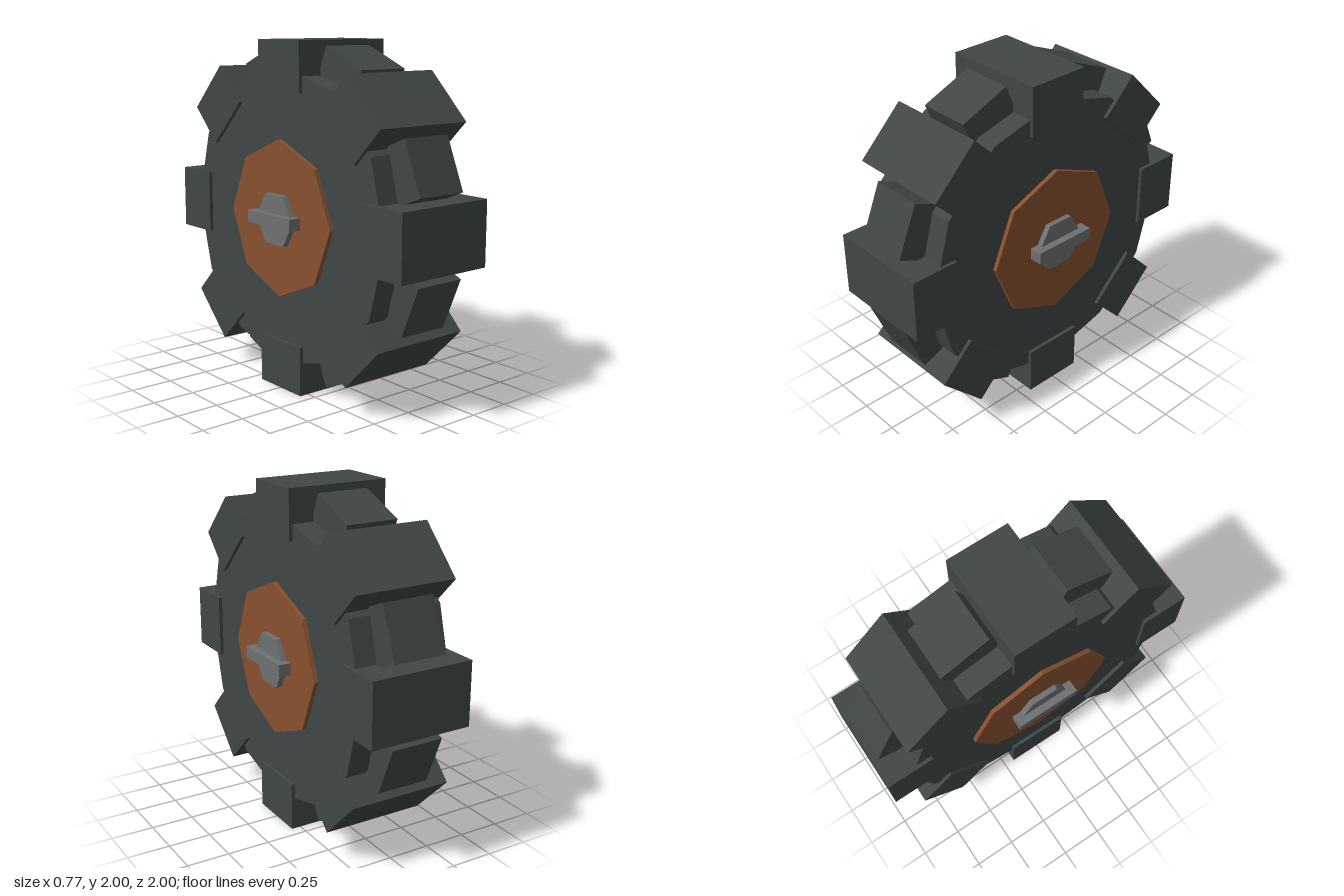
import * as THREE from 'three';

const flat = (name, color) => {
  const m = new THREE.MeshStandardMaterial({ color });
  m.name = name;
  m.flatShading = true;
  return m;
};

export function createModel() {
  const rubber = flat('dark rubber', 0x404646);
  const rust = flat('rust hub', 0x88502f);
  const steel = flat('grey steel', 0x6f7073);

  const wheel = new THREE.Group();
  wheel.name = 'wheel';

  const add = (name, geometry, material, parent = wheel) => {
    const mesh = new THREE.Mesh(geometry, material);
    mesh.name = name;
    parent.add(mesh);
    return mesh;
  };
  // Prism lying along the axle, with a corner pointing to +z
  const prism = (radius, width, sides) =>
    new THREE.CylinderGeometry(radius, radius, width, sides).rotateZ(Math.PI / 2);

  // Tyre body, hub and axle nut
  add('tyreCore', prism(0.857, 0.57, 12), rubber);
  add('hub', prism(0.452, 0.62, 8), rust);
  add('axleNut', prism(0.165, 0.685, 6), steel);
  add('axleBar', new THREE.BoxGeometry(0.77, 0.07, 0.39), steel);

  // Wide and narrow tread blocks alternating around the rim
  const wide = new THREE.BoxGeometry(0.612, 0.285, 0.37).translate(0, 0.8575, 0);
  const narrow = new THREE.BoxGeometry(0.31, 0.285, 0.314).translate(0, 0.8405, 0);
  const treads = new THREE.Group();
  treads.name = 'treads';
  wheel.add(treads);
  for (let i = 0; i < 16; i++) {
    const isWide = i % 2 === 0;
    const block = add(isWide ? 'wideTread' : 'narrowTread', isWide ? wide : narrow, rubber, treads);
    block.rotation.x = (i * Math.PI) / 8;
  }

  wheel.position.y = 1;
  const model = new THREE.Group();
  model.name = 'treadedWheel';
  model.add(wheel);
  return model;
}
